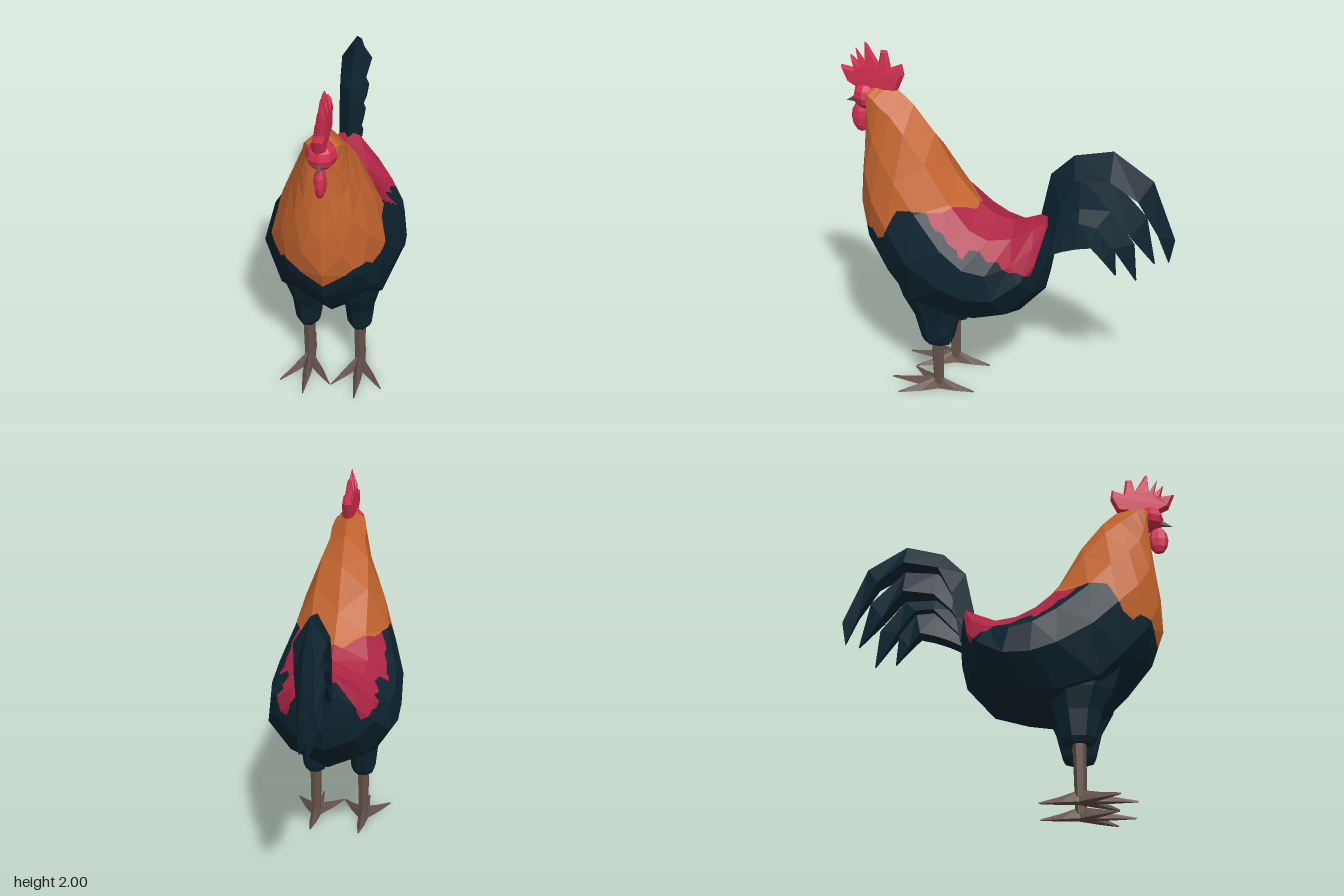
import * as THREE from 'three';

const mat = (name, color) => new THREE.MeshStandardMaterial({ name, color });
const V = (x, y, z) => new THREE.Vector3(x, y, z);

// Triangles of a closed loft through rings of equal point count, facing outward
function loft(rings) {
  const tris = [], n = rings[0].length;
  for (let i = 0; i + 1 < rings.length; i++) {
    for (let j = 0; j < n; j++) {
      const k = (j + 1) % n, a = rings[i], b = rings[i + 1];
      // mirror the diagonal so both sides match
      if (j < n / 2) tris.push([a[j], a[k], b[k]], [a[j], b[k], b[j]]);
      else tris.push([a[j], a[k], b[j]], [a[k], b[k], b[j]]);
    }
  }
  const last = rings[rings.length - 1];
  for (let j = 1; j + 1 < n; j++) {
    tris.push([rings[0][0], rings[0][j + 1], rings[0][j]], [last[0], last[j], last[j + 1]]);
  }
  const volume = tris.reduce((s, [a, b, c]) => s + a.dot(b.clone().cross(c)), 0);
  return volume < 0 ? tris.map(([a, b, c]) => [a, c, b]) : tris;
}

// Faceted geometry from triangles
function facets(tris) {
  const g = new THREE.BufferGeometry().setFromPoints(tris.flat());
  g.computeVertexNormals();
  return g;
}

function flat(geometry) {
  const g = geometry.index ? geometry.toNonIndexed() : geometry;
  g.computeVertexNormals();
  return g;
}

// Height of a polyline [z, y] at z
function heightAt(line, z) {
  for (let i = 0; i + 1 < line.length; i++) {
    const [z0, y0] = line[i], [z1, y1] = line[i + 1];
    if (z >= z0 && z <= z1) return y0 + (y1 - y0) * (z - z0) / (z1 - z0);
  }
  return line[z < line[0][0] ? 0 : line.length - 1][1];
}

// Lower edges of the neck cape and of the saddle
const capeEdge = [[0.15, 1.14], [0.2, 1.165], [0.25, 1.185], [0.3, 1.165], [0.37, 1.17], [0.45, 1.18],
  [0.53, 1.17], [0.57, 1.09], [0.61, 1.0], [0.66, 0.97], [0.7, 1.01], [0.76, 1.0], [0.8, 0.89]];
const saddleEdge = [[-0.25, 1.1], [-0.22, 0.92], [-0.2, 0.87], [-0.14, 0.91], [-0.1, 0.91], [-0.04, 0.95],
  [0.02, 0.95], [0.07, 0.99], [0.12, 1.0], [0.15, 0.955], [0.18, 1.0], [0.23, 1.03], [0.27, 1.08], [0.32, 1.1], [0.37, 1.17]];

function plumage(p) {
  if (p.z > 0.15 && p.y > heightAt(capeEdge, p.z)) return 'cape';
  if (p.z > -0.25 && p.z < 0.37 && p.y > heightAt(saddleEdge, p.z)) return 'saddle';
  return 'body';
}

// Split a facet along the plumage edges
function paint([a, b, c], out, depth = 0) {
  const kinds = [a, b, c].map(plumage);
  const mixed = kinds.some(k => k !== kinds[0]);
  if (depth < 2 || (mixed && depth < 5)) {
    const ab = a.clone().lerp(b, 0.5), bc = b.clone().lerp(c, 0.5), ca = c.clone().lerp(a, 0.5);
    for (const t of [[a, ab, ca], [ab, b, bc], [ca, bc, c], [ab, bc, ca]]) paint(t, out, depth + 1);
  } else {
    out[plumage(a.clone().add(b).add(c).divideScalar(3))].push([a, b, c]);
  }
}

export function createModel() {
  const model = new THREE.Group();
  const orange = mat('orange feathers', 0xc4652f);
  const dark = mat('dark feathers', 0x0d2430);
  const crimson = mat('crimson saddle', 0xac2443);
  const red = mat('red skin', 0xd22f50);
  const brown = mat('brown legs', 0x66544a);
  const add = (name, geometry, material, parent = model) => {
    const mesh = new THREE.Mesh(geometry, material);
    mesh.name = name;
    parent.add(mesh);
    return mesh;
  };

  // Body from rump to head: top z, y, bottom z, y, then four half widths downward
  const steps = [0.12, 0.35, 0.6, 0.85];
  const bodyRings = [
    [-0.24, 1.16, -0.27, 0.94, 0.06, 0.08, 0.08, 0.05],
    [-0.17, 1.13, -0.26, 0.82, 0.09, 0.17, 0.18, 0.11],
    [-0.05, 1.08, -0.23, 0.69, 0.13, 0.26, 0.27, 0.16],
    [0.06, 1.1, -0.08, 0.52, 0.18, 0.33, 0.34, 0.21],
    [0.15, 1.16, 0.1, 0.47, 0.19, 0.35, 0.365, 0.25],
    [0.27, 1.3, 0.25, 0.45, 0.16, 0.33, 0.368, 0.26],
    [0.4, 1.53, 0.48, 0.48, 0.15, 0.27, 0.355, 0.27],
    [0.52, 1.68, 0.62, 0.62, 0.13, 0.23, 0.295, 0.24],
    [0.6, 1.75, 0.76, 0.8, 0.1, 0.17, 0.22, 0.18],
    [0.66, 1.775, 0.83, 1.0, 0.1, 0.125, 0.14, 0.1],
    [0.7, 1.78, 0.825, 1.2, 0.09, 0.1, 0.09, 0.06],
    [0.74, 1.77, 0.795, 1.43, 0.08, 0.08, 0.07, 0.04],
    [0.77, 1.75, 0.775, 1.6, 0.06, 0.07, 0.055, 0.035],
  ].map(([tz, ty, bz, by, ...w]) => {
    const at = (s, x) => V(x, ty + (by - ty) * s, tz + (bz - tz) * s);
    const side = m => steps.map((s, i) => at(s, m * w[i]));
    return [at(0, 0), ...side(1), at(1, 0), ...side(-1).reverse()];
  });
  const painted = { cape: [], saddle: [], body: [] };
  loft(bodyRings).forEach(t => paint(t, painted));
  add('neckCape', facets(painted.cape), orange);
  add('saddle', facets(painted.saddle), crimson);
  add('body', facets(painted.body), dark);

  // Face, wattle and beak
  const ball = (name, x, y, z, rx, ry, rz) => {
    const g = new THREE.SphereGeometry(1, 8, 6).scale(rx, ry, rz);
    add(name, flat(g), red).position.set(x, y, z);
  };
  ball('face', 0, 1.7, 0.79, 0.078, 0.075, 0.075);
  ball('wattle', 0, 1.567, 0.83, 0.032, 0.085, 0.056);
  const beak = new THREE.ConeGeometry(0.04, 0.12, 6).scale(0.75, 1, 1).rotateX(Math.PI / 2 + 0.3);
  add('beak', flat(beak), brown).position.set(0, 1.672, 0.855);

  // Comb, thinning toward the tips
  const comb = new THREE.Shape([[0.61, 1.75], [0.57, 1.84], [0.58, 1.9], [0.645, 1.87], [0.66, 1.965], [0.695, 1.965],
    [0.71, 1.885], [0.77, 1.99], [0.785, 2], [0.79, 1.88], [0.84, 1.96], [0.82, 1.87], [0.872, 1.92], [0.855, 1.845],
    [0.93, 1.855], [0.895, 1.77], [0.84, 1.74], [0.7, 1.74]].map(p => new THREE.Vector2(...p)));
  const combGeo = new THREE.ExtrudeGeometry(comb, {
    depth: 0.02, bevelEnabled: true, bevelSegments: 1, bevelSize: 0.012, bevelThickness: 0.02, bevelOffset: -0.012,
  }).translate(0, 0, -0.01).rotateY(-Math.PI / 2);
  const cp = combGeo.attributes.position;
  for (let i = 0; i < cp.count; i++) {
    cp.setX(i, cp.getX(i) * THREE.MathUtils.clamp((2.02 - cp.getY(i)) / 0.2, 0.1, 1));
    cp.setZ(i, -cp.getZ(i) > 0 ? -cp.getZ(i) : cp.getZ(i));
  }
  // keep faces outward whichever way the outline was turned
  const combPoints = [];
  for (let i = 0; i < cp.count; i++) combPoints.push(V(0, 0, 0).fromBufferAttribute(cp, i));
  const combTris = [];
  for (let i = 0; i < combPoints.length; i += 3) combTris.push(combPoints.slice(i, i + 3));
  const combVolume = combTris.reduce((s, [a, b, c]) => s + a.dot(b.clone().cross(c)), 0);
  add('comb', facets(combVolume < 0 ? combTris.map(([a, b, c]) => [a, c, b]) : combTris), red);

  // Tail feathers: ridge z, y, lower edge z, y, half width
  const tail = new THREE.Group();
  tail.name = 'tail';
  model.add(tail);
  [
    [[-0.2, 1.15, -0.27, 0.95, 0.06], [-0.25, 1.39, -0.32, 1.24, 0.065], [-0.375, 1.515, -0.4, 1.4, 0.07],
      [-0.583, 1.568, -0.59, 1.43, 0.085], [-0.8, 1.43, -0.735, 1.325, 0.055], [-0.93, 1.11, -0.84, 1.13, 0.02],
      [-0.907, 0.98, -0.903, 0.97, 0.003]],
    [[-0.21, 1.14, -0.25, 1.02, 0.06], [-0.3, 1.31, -0.32, 1.14, 0.06], [-0.41, 1.395, -0.42, 1.24, 0.06],
      [-0.588, 1.41, -0.59, 1.26, 0.07], [-0.775, 1.22, -0.7, 1.11, 0.045], [-0.83, 0.955, -0.825, 0.95, 0.003]],
    [[-0.22, 1.1, -0.25, 0.97, 0.055], [-0.3, 1.17, -0.32, 1.04, 0.055], [-0.41, 1.23, -0.42, 1.15, 0.055],
      [-0.58, 1.225, -0.52, 1.14, 0.06], [-0.715, 1.05, -0.61, 1.02, 0.04], [-0.735, 0.835, -0.73, 0.83, 0.003]],
    [[-0.23, 1.06, -0.25, 0.92, 0.05], [-0.31, 1.12, -0.33, 0.96, 0.05], [-0.4, 1.155, -0.41, 0.99, 0.05],
      [-0.52, 1.16, -0.49, 1.01, 0.05], [-0.61, 1.02, -0.55, 0.935, 0.03], [-0.622, 0.845, -0.618, 0.84, 0.003]],
  ].forEach((rows, i) => {
    const rings = rows.map(([tz, ty, bz, by, w]) => [V(0, ty, tz), V(w, by, bz), V(-w, by, bz)]);
    add('tailFeather' + (i + 1), facets(loft(rings)), dark, tail);
  });

  // Legs: feathered thigh, shank and four toes
  for (const side of [1, -1]) {
    const leg = new THREE.Group();
    leg.name = side > 0 ? 'leftLeg' : 'rightLeg';
    leg.position.set(side * 0.142, 0, 0);
    model.add(leg);
    const thigh = [[0.31, 0.36, 0.055, 0.075], [0.34, 0.36, 0.068, 0.09], [0.48, 0.36, 0.082, 0.125],
      [0.6, 0.37, 0.11, 0.18], [0.76, 0.38, 0.13, 0.22]].map(([y, z, rx, rz]) =>
      Array.from({ length: 8 }, (_, i) => {
        const a = (i + 0.5) * Math.PI / 4;
        return V(Math.cos(a) * rx * 1.06, y, z + Math.sin(a) * rz * 1.06);
      }));
    add('thigh', facets(loft(thigh)), dark, leg);
    add('shank', flat(new THREE.CylinderGeometry(0.036, 0.03, 0.3, 6)), brown, leg).position.set(0, 0.18, 0.362);
    for (const [x, z] of [[0, 0.65], [0.138, 0.56], [-0.138, 0.56], [0, 0.15]]) {
      const tip = V(x, 0, z), root = V(0, 0, 0.36);
      const dir = tip.clone().sub(root).normalize(), across = V(dir.z, 0, -dir.x);
      const ring = (t, w, h) => {
        const c = root.clone().lerp(tip, t);
        return [c.clone().setY(h), c.clone().addScaledVector(across, w), c.clone().addScaledVector(across, -w)];
      };
      add('toe', facets(loft([ring(-0.06, 0.03, 0.075), ring(0.5, 0.022, 0.035), ring(1, 0.003, 0.008)])), brown, leg);
    }
  }
  return model;
}
